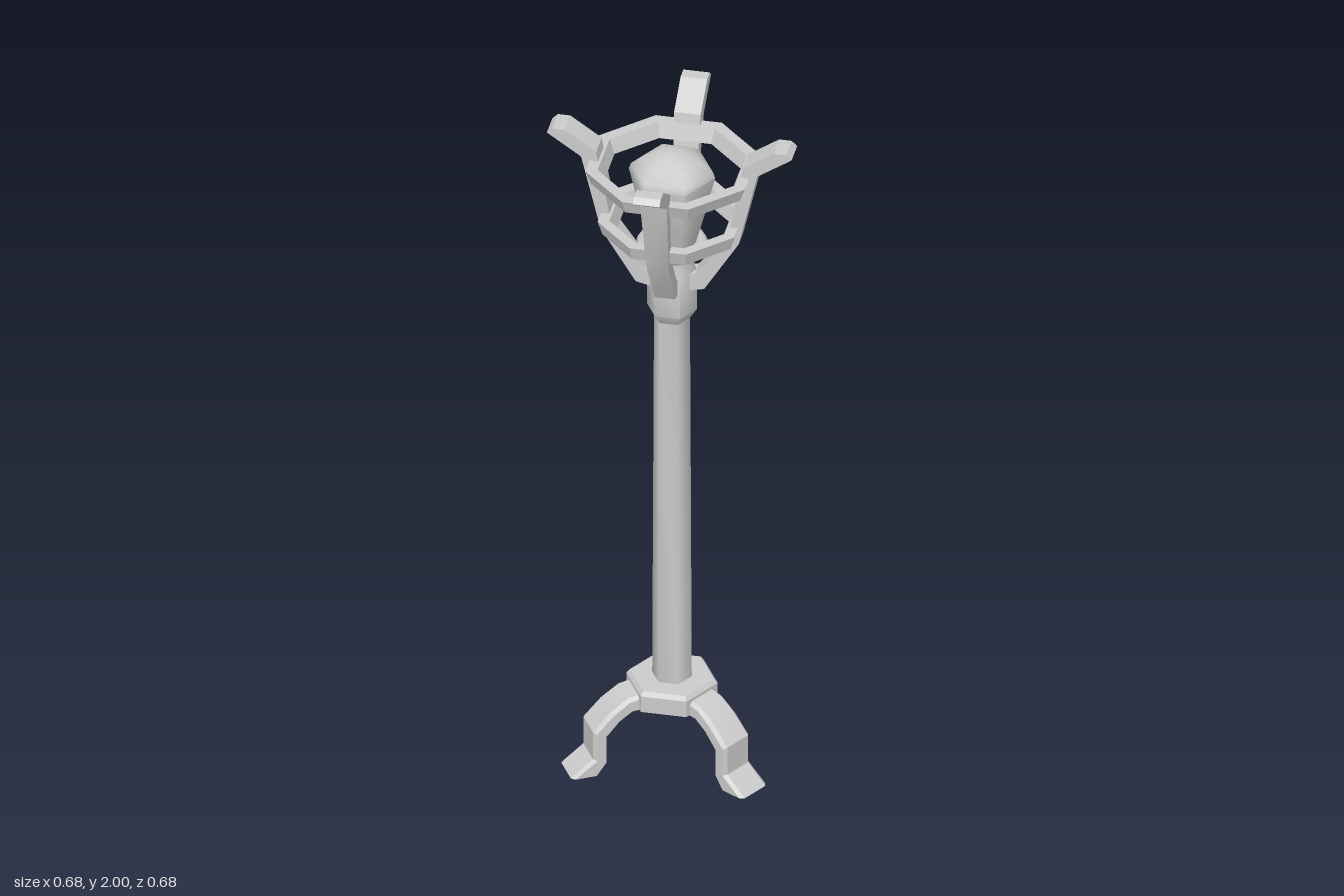
import * as THREE from 'three';
import { toCreasedNormals } from 'three/addons/utils/BufferGeometryUtils.js';

const grey = new THREE.MeshStandardMaterial({ color: 0xcccccc });

function addMesh(parent, name, geometry, crease) {
  const mesh = new THREE.Mesh(toCreasedNormals(geometry, crease), grey);
  mesh.name = name;
  parent.add(mesh);
  return mesh;
}

// Turned part; the profile lists [radius, y] from bottom to top
function turned(profile, sides, phase) {
  return new THREE.LatheGeometry(profile.map(([r, y]) => new THREE.Vector2(r, y)), sides, phase);
}

// Bent bar along +x. Each station is [topX, topY, bottomX, bottomY, halfWidth];
// "top" lies to the left of travel and may have chamfered edges.
function bentBar(stations, chamfer = 0) {
  const rings = stations.map(([tx, ty, bx, by, w]) => {
    const half = [];
    if (chamfer) {
      const t = chamfer / Math.hypot(bx - tx, by - ty);
      half.push([tx, ty, w - chamfer], [tx + (bx - tx) * t, ty + (by - ty) * t, w]);
    } else half.push([tx, ty, w]);
    half.push([bx, by, w]);
    const mirrored = half.map(([x, y, z]) => [x, y, -z]).reverse();
    return [...half, ...mirrored];
  });
  const pos = [];
  const tri = (a, b, c) => pos.push(...a, ...b, ...c);
  const n = rings[0].length;
  for (let i = 0; i < rings.length - 1; i++) {
    for (let j = 0; j < n; j++) {
      const k = (j + 1) % n;
      tri(rings[i][j], rings[i][k], rings[i + 1][k]);
      tri(rings[i][j], rings[i + 1][k], rings[i + 1][j]);
    }
  }
  const first = rings[0], last = rings[rings.length - 1];
  for (let j = 1; j < n - 1; j++) {
    tri(first[0], first[j + 1], first[j]);
    tri(last[0], last[j], last[j + 1]);
  }
  const geometry = new THREE.BufferGeometry();
  geometry.setAttribute('position', new THREE.Float32BufferAttribute(pos, 3));
  return geometry;
}

export function createModel() {
  const group = new THREE.Group();
  const hex = (profile) => turned(profile, 6, Math.PI / 2);

  // Base plate and three feet
  addMesh(group, 'basePlate', hex([[0, 0.19], [0.127, 0.19], [0.127, 0.24], [0.117, 0.252], [0, 0.252]]), 0.5);
  const leg = bentBar([
    [0.09, 0.235, 0.09, 0.19, 0.05],
    [0.14, 0.225, 0.13, 0.187, 0.05],
    [0.19, 0.19, 0.167, 0.162, 0.051],
    [0.24, 0.137, 0.205, 0.12, 0.052],
    [0.24, 0.05, 0.205, 0.037, 0.052],
    [0.303, 0, 0.232, 0, 0.052],
  ], 0.01);
  for (let i = 0; i < 3; i++) {
    addMesh(group, 'leg', leg, 0.5).rotation.y = Math.PI / 2 + i * Math.PI * 2 / 3;
  }

  // Pole and the socket at its top
  addMesh(group, 'pole', hex([[0.055, 0.24], [0.05, 1.43]]), 1.1);
  addMesh(group, 'socket', hex([
    [0.048, 1.41], [0.07, 1.445], [0.07, 1.57], [0.062, 1.59], [0.062, 1.65], [0, 1.65],
  ]), 1.1);

  // Domed head with its collar
  addMesh(group, 'head', hex([
    [0, 1.64], [0.06, 1.64], [0.085, 1.73], [0.12, 1.875], [0.114, 1.893],
    [0.085, 1.918], [0.045, 1.938], [0, 1.947],
  ]), 1.1);
  const collar = new THREE.TorusGeometry(0.08, 0.019, 8, 16);
  collar.rotateX(Math.PI / 2).translate(0, 1.649, 0);
  addMesh(group, 'collar', collar, 1.1);

  // Four flaring prongs of the basket
  const prong = bentBar([
    [0.05, 1.57, 0.05, 1.52, 0.028],
    [0.07, 1.575, 0.095, 1.53, 0.028],
    [0.16, 1.70, 0.192, 1.69, 0.031],
    [0.203, 1.94, 0.245, 1.92, 0.037],
    [0.29, 2.0, 0.315, 1.968, 0.037],
    [0.325, 2.0, 0.34, 1.985, 0.037],
  ]);
  for (let i = 0; i < 4; i++) {
    addMesh(group, 'prong', prong, 0.4).rotation.y = i * Math.PI / 2;
  }

  // Octagonal hoops: [bottomY, topY, outerBottom, outerTop, innerBottom, innerTop]
  const hoops = [
    [1.70, 1.742, 0.178, 0.19, 0.145, 0.16],
    [1.868, 1.91, 0.207, 0.222, 0.175, 0.19],
  ];
  const corner = 1 / Math.cos(Math.PI / 8);
  for (const [y0, y1, ob, ot, ib, it] of hoops) {
    const profile = [[ib, y0], [ob, y0], [ot, y1], [it, y1], [ib, y0]].map(([r, y]) => [r * corner, y]);
    addMesh(group, 'hoop', turned(profile, 8, Math.PI / 8), 0.5);
  }
  return group;
}
